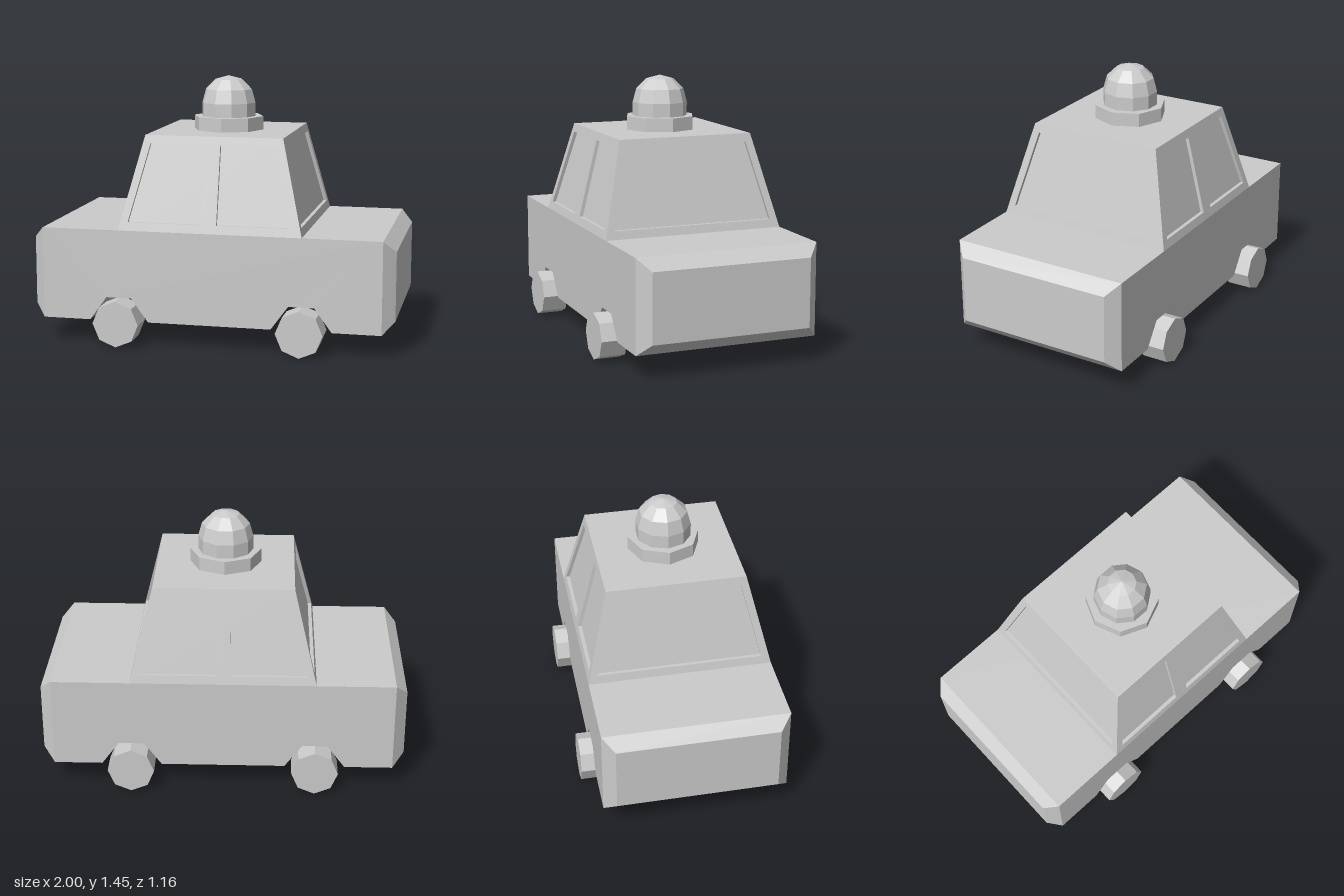
import * as THREE from 'three';

const material = new THREE.MeshStandardMaterial({ color: 0xcccccc, flatShading: true });

const FLOOR = 0.13, DECK = 0.635, ROOF = 1.145;   // main heights
const HALF = 0.505, ROOF_HALF = 0.38;             // half width of body and of roof
const BEVEL = 0.065, AXLE_X = 0.505, RECESS = 0.02;
const SLOPE = (HALF - ROOF_HALF) / (ROOF - DECK);

function add(parent, name, geometry, x = 0, y = 0, z = 0) {
  const mesh = new THREE.Mesh(geometry, material);
  mesh.name = name;
  mesh.position.set(x, y, z);
  parent.add(mesh);
  return mesh;
}

function polygon(points, Type = THREE.Shape) {
  return new Type(points.map(([x, y]) => new THREE.Vector2(x, y)));
}

// Box standing on y = 0 whose top is drawn in by the same inset on every side
function taperedBox(width, height, depth, inset) {
  const geometry = new THREE.BoxGeometry(width, height, depth).translate(0, height / 2, 0);
  const p = geometry.attributes.position;
  for (let i = 0; i < p.count; i++) {
    if (p.getY(i) < height / 2) continue;
    p.setX(i, p.getX(i) - Math.sign(p.getX(i)) * inset);
    p.setZ(i, p.getZ(i) - Math.sign(p.getZ(i)) * inset);
  }
  geometry.computeVertexNormals();
  return geometry;
}

// Side profile with two wheel channels running across the whole underside
function bodyGeometry() {
  const end = 1 - BEVEL;
  const points = [[-end, DECK], [-end, FLOOR]];
  for (const c of [-AXLE_X, AXLE_X]) {
    points.push([c - 0.165, FLOOR], [c - 0.07, 0.26], [c + 0.07, 0.26], [c + 0.165, FLOOR]);
  }
  points.push([end, FLOOR], [end, DECK]);
  return new THREE.ExtrudeGeometry(polygon(points), { depth: HALF * 2, bevelEnabled: false })
    .translate(0, 0, -HALF);
}

// One leaning wall of the cabin with window openings
function wallGeometry(windows) {
  const shape = polygon([[-HALF, DECK], [HALF, DECK], [ROOF_HALF, ROOF], [-ROOF_HALF, ROOF]]);
  shape.holes = windows.map((w) => polygon(w, THREE.Path));
  const geometry = new THREE.ExtrudeGeometry(shape, { depth: RECESS, bevelEnabled: false });
  const p = geometry.attributes.position;
  for (let i = 0; i < p.count; i++) {
    p.setZ(i, p.getZ(i) - RECESS + HALF - SLOPE * (p.getY(i) - DECK));
  }
  geometry.computeVertexNormals();
  return geometry;
}

export function createModel() {
  const car = new THREE.Group();
  car.name = 'car';

  // Body and its bevelled ends
  add(car, 'body', bodyGeometry());
  for (const side of [-1, 1]) {
    const cap = add(car, side > 0 ? 'leftEnd' : 'rightEnd',
      taperedBox(DECK - FLOOR, BEVEL, HALF * 2, BEVEL),
      side * (1 - BEVEL), (FLOOR + DECK) / 2, 0);
    cap.rotation.z = -side * Math.PI / 2;
  }

  // Cabin: inner block forms the glass, four walls form the window frames
  const cabin = new THREE.Group();
  cabin.name = 'cabin';
  car.add(cabin);
  const inner = (HALF - RECESS) * 2;
  add(cabin, 'glassAndRoof', taperedBox(inner, ROOF - DECK, inner, HALF - ROOF_HALF), 0, DECK, 0);
  const low = 0.68, high = 1.1;
  const pane = [[0.04, low], [0.452, low], [0.348, high], [0.04, high]];
  const doorWindows = [pane, pane.map(([x, y]) => [-x, y])];
  const windscreen = [[[-0.452, low], [0.452, low], [0.348, high], [-0.348, high]]];
  for (let i = 0; i < 4; i++) {
    const wall = add(cabin, i % 2 ? 'windscreenFrame' : 'doorFrame',
      wallGeometry(i % 2 ? windscreen : doorWindows));
    wall.rotation.y = i * Math.PI / 2;
  }

  // Eight-sided wheels
  const wheelGeometry = new THREE.CylinderGeometry(0.128, 0.128, 0.143, 8).rotateX(Math.PI / 2);
  for (const x of [-AXLE_X, AXLE_X]) {
    for (const side of [-1, 1]) add(car, 'wheel', wheelGeometry, x, 0.128, side * 0.507);
  }

  // Roof beacon: octagonal base and faceted dome
  const beacon = new THREE.Group();
  beacon.name = 'beacon';
  beacon.position.y = ROOF;
  car.add(beacon);
  add(beacon, 'beaconBase', new THREE.CylinderGeometry(0.197, 0.197, 0.075, 8), 0, 0.0375, 0);
  const radius = 0.152;
  const profile = [new THREE.Vector2(radius, 0.075)];
  for (let i = 0; i <= 3; i++) {
    const a = i * Math.PI / 6;
    profile.push(new THREE.Vector2(i === 3 ? 0 : radius * Math.cos(a), 0.15 + 0.15 * Math.sin(a)));
  }
  add(beacon, 'beaconDome', new THREE.LatheGeometry(profile, 10)).rotation.y = Math.PI / 2;

  return car;
}
